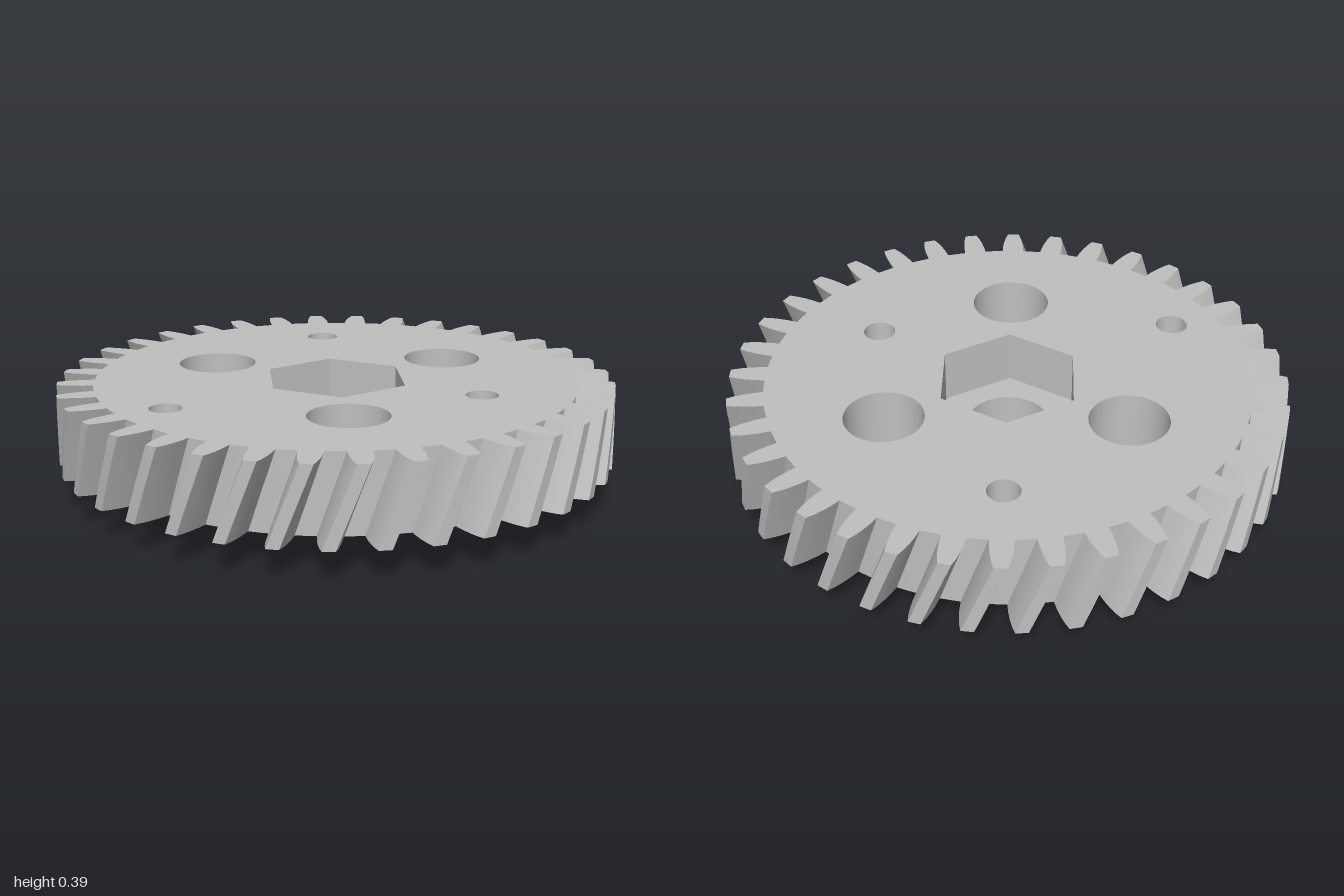
import * as THREE from 'three';
import { toCreasedNormals } from 'three/addons/utils/BufferGeometryUtils.js';

const DEG = Math.PI / 180;
const TEETH = 36, TWIST = 6.2 * DEG;
// Levels: hub bottom, disc bottom, hex floor / counterbore ledge, disc top
const HUB = 0, BOTTOM = 0.11, LEDGE = 0.19, TOP = 0.39;

// Outlines are counter-clockwise as seen from above; plan v points to -z
const point = (r, a) => new THREE.Vector2(r * Math.cos(a), r * Math.sin(a));

function ring(r, x = 0, z = 0, sides = 64) {
  return Array.from({ length: sides }, (_, i) =>
    point(r, (i / sides) * Math.PI * 2).add(new THREE.Vector2(x, -z)));
}

// Toothed outline: curved flanks given as radius and half angle in degrees
function gearOutline(phase) {
  const flank = [[0.87, 2.7], [0.905, 2.52], [0.94, 2.2], [0.972, 1.78], [1, 1.25]];
  const pts = [];
  for (let i = 0; i < TEETH; i++) {
    const a = (i / TEETH) * Math.PI * 2 + phase;
    flank.forEach(([r, h]) => pts.push(point(r, a - h * DEG)));
    pts.push(point(1, a));
    [...flank].reverse().forEach(([r, h]) => pts.push(point(r, a + h * DEG)));
    pts.push(point(0.87, a + Math.PI / TEETH));
  }
  return pts;
}

// Side wall between two levels; outlineAt(t) gives the outline from bottom to top
function wallGeometry(outlineAt, y0, y1, inward = false, steps = 1) {
  const pos = [];
  const rows = [];
  for (let s = 0; s <= steps; s++) {
    const t = s / steps;
    const pts = [...outlineAt(t)];
    if (inward) pts.reverse();
    rows.push(pts.map(p => [p.x, y0 + (y1 - y0) * t, -p.y]));
  }
  for (let s = 0; s < steps; s++) {
    const lo = rows[s], hi = rows[s + 1];
    for (let i = 0; i < lo.length; i++) {
      const j = (i + 1) % lo.length;
      for (const v of [lo[i], lo[j], hi[j], lo[i], hi[j], hi[i]]) pos.push(...v);
    }
  }
  const g = new THREE.BufferGeometry();
  g.setAttribute('position', new THREE.Float32BufferAttribute(pos, 3));
  return toCreasedNormals(g, 30 * DEG);
}

// Flat face with holes, facing up or down
function faceGeometry(outline, holes, y, up) {
  const shape = new THREE.Shape(outline);
  shape.holes = holes.map(h => new THREE.Path(h));
  const g = new THREE.ShapeGeometry(shape);
  if (!up) {
    const idx = g.index.array;
    for (let i = 0; i < idx.length; i += 3) [idx[i], idx[i + 1]] = [idx[i + 1], idx[i]];
  }
  g.rotateX(-Math.PI / 2).translate(0, y, 0);
  g.computeVertexNormals();
  return g;
}

export function createModel() {
  const group = new THREE.Group();
  group.name = 'helicalGear';
  const grey = new THREE.MeshStandardMaterial({ color: 0xc0c0c0 });
  grey.name = 'grey';

  const add = (name, geometry) => {
    const mesh = new THREE.Mesh(geometry, grey);
    mesh.name = name;
    group.add(mesh);
  };
  const wall = (name, outline, y0, y1, inward) =>
    add(name, wallGeometry(() => outline, y0, y1, inward));

  // Central outlines
  const bore = ring(0.148);
  const hub = ring(0.19);
  const hex = ring(0.27, 0, 0, 6);

  // Three large lightening holes, evenly spaced
  const largeHoles = [0, 120, 240].map(d =>
    ring(0.142, 0.49 * Math.cos(d * DEG), 0.49 * Math.sin(d * DEG)));

  // Three screw holes, each at its own radius
  const screws = [[0.70, 180], [0.632, 300], [0.561, 60]].map(([r, d]) =>
    [r * Math.cos(d * DEG), r * Math.sin(d * DEG)]);
  const screwHoles = screws.map(([x, z]) => ring(0.058, x, z, 40));
  const counterbores = screws.map(([x, z]) => ring(0.104, x, z, 48));

  // Toothed disc
  add('helicalTeeth', wallGeometry(t => gearOutline((t - 1) * TWIST), BOTTOM, TOP, false, 6));
  add('topFace', faceGeometry(gearOutline(0), [hex, ...largeHoles, ...screwHoles], TOP, true));
  add('bottomFace', faceGeometry(gearOutline(-TWIST), [hub, ...largeHoles, ...counterbores], BOTTOM, false));

  // Hub, bore and hexagonal nut pocket
  wall('hub', hub, HUB, BOTTOM, false);
  add('hubFace', faceGeometry(hub, [bore], HUB, false));
  wall('bore', bore, HUB, LEDGE, true);
  wall('nutPocket', hex, LEDGE, TOP, true);
  add('nutPocketFloor', faceGeometry(hex, [bore], LEDGE, true));

  // Hole walls
  largeHoles.forEach(h => wall('lighteningHole', h, BOTTOM, TOP, true));
  screws.forEach((_, i) => {
    wall('screwHole', screwHoles[i], LEDGE, TOP, true);
    wall('counterbore', counterbores[i], BOTTOM, LEDGE, true);
    add('counterboreLedge', faceGeometry(counterbores[i], [screwHoles[i]], LEDGE, false));
  });

  return group;
}
